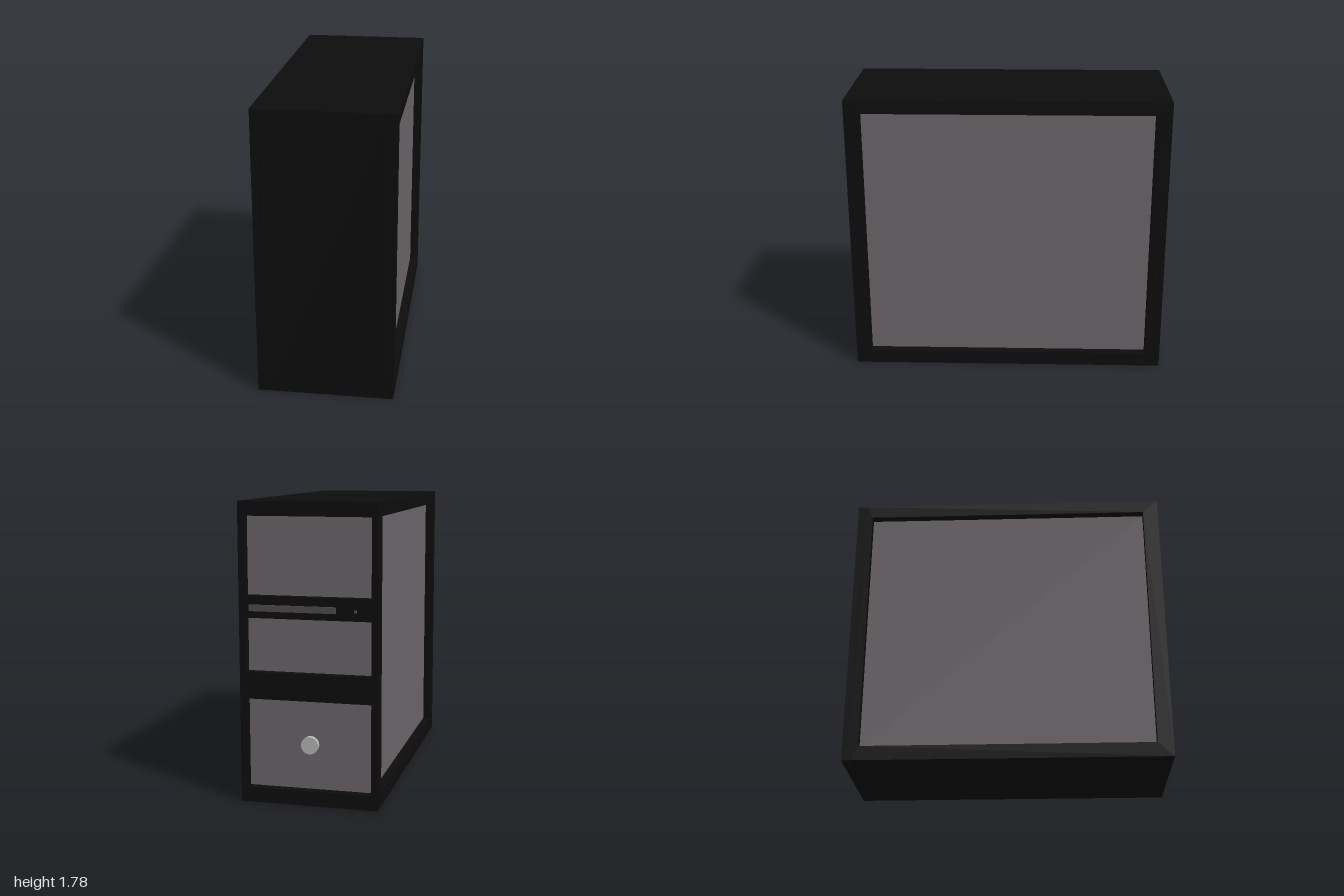
import * as THREE from 'three';

const W = 0.83, H = 1.785, BACK = -0.99, FRONT = 1, RECESS = 0.057;

const paint = (color) => new THREE.MeshStandardMaterial({ color });
const black = paint(0x0d0d0d);
const panelGrey = paint(0x6b666b);
const slotGrey = paint(0x504c50);
const silver = paint(0xb8b8b8);

function add(parent, name, geometry, material, x = 0, y = 0, z = 0) {
  const mesh = new THREE.Mesh(geometry, material);
  mesh.name = name;
  mesh.position.set(x, y, z);
  parent.add(mesh);
  return mesh;
}

// Counter-clockwise rectangle as points
const rect = (u0, v0, u1, v1) =>
  [[u0, v0], [u1, v0], [u1, v1], [u0, v1]].map(([u, v]) => new THREE.Vector2(u, v));

// Flat frame with rectangular openings, RECESS thick along +z
function frameGeometry(outer, openings) {
  const shape = new THREE.Shape(rect(...outer));
  for (const o of openings) shape.holes.push(new THREE.Path(rect(...o).reverse()));
  return new THREE.ExtrudeGeometry(shape, { depth: RECESS, bevelEnabled: false });
}

export function createModel() {
  const group = new THREE.Group();
  group.name = 'computerCase';
  const backInner = BACK + RECESS;

  // Solid body inside the frames
  const depth = FRONT - backInner;
  add(group, 'body', new THREE.BoxGeometry(W - 2 * RECESS, H, depth), black, 0, H / 2, (FRONT + backInner) / 2);

  // Side frames with recessed panels
  const z0 = -0.893, z1 = 0.903, y0 = 0.09, y1 = 1.702;
  for (const side of [1, -1]) {
    const name = side > 0 ? 'left' : 'right';
    // Local u runs along -z, the extrusion along +x
    const frame = add(group, name + 'Frame',
      frameGeometry([-FRONT, 0, -backInner, H], [[-z1, y0, -z0, y1]]), black);
    frame.rotation.y = Math.PI / 2;
    frame.position.x = side > 0 ? W / 2 - RECESS : -W / 2;
    add(group, name + 'Panel', new THREE.BoxGeometry(0.01, y1 - y0, z1 - z0), panelGrey,
      side * (W / 2 - RECESS), (y0 + y1) / 2, (z0 + z1) / 2);
  }

  // Back frame with three recessed bays
  const half = 0.375;
  const bays = [[1.24, 1.7], [0.79, 1.11], [0.09, 0.63]];
  add(group, 'backFrame', frameGeometry([-W / 2, 0, W / 2, H],
    bays.map(([a, b]) => [-half, a, half, b])), black, 0, 0, BACK);
  bays.forEach(([a, b], i) => add(group, 'bayPanel' + (i + 1),
    new THREE.BoxGeometry(2 * half, b - a, 0.01), panelGrey, 0, (a + b) / 2, backInner));

  // Drive slot and its button
  add(group, 'driveSlot', new THREE.BoxGeometry(0.52, 0.038, 0.02), slotGrey, 0.092, 1.17, -0.99);
  add(group, 'driveButton', new THREE.BoxGeometry(0.016, 0.016, 0.02), slotGrey, -0.283, 1.166, -0.99);

  // Round knob on the lowest bay
  const knob = add(group, 'knob', new THREE.CylinderGeometry(0.052, 0.052, 0.03, 32), silver,
    0, 0.36, backInner - 0.02);
  knob.rotation.x = Math.PI / 2;

  return group;
}
